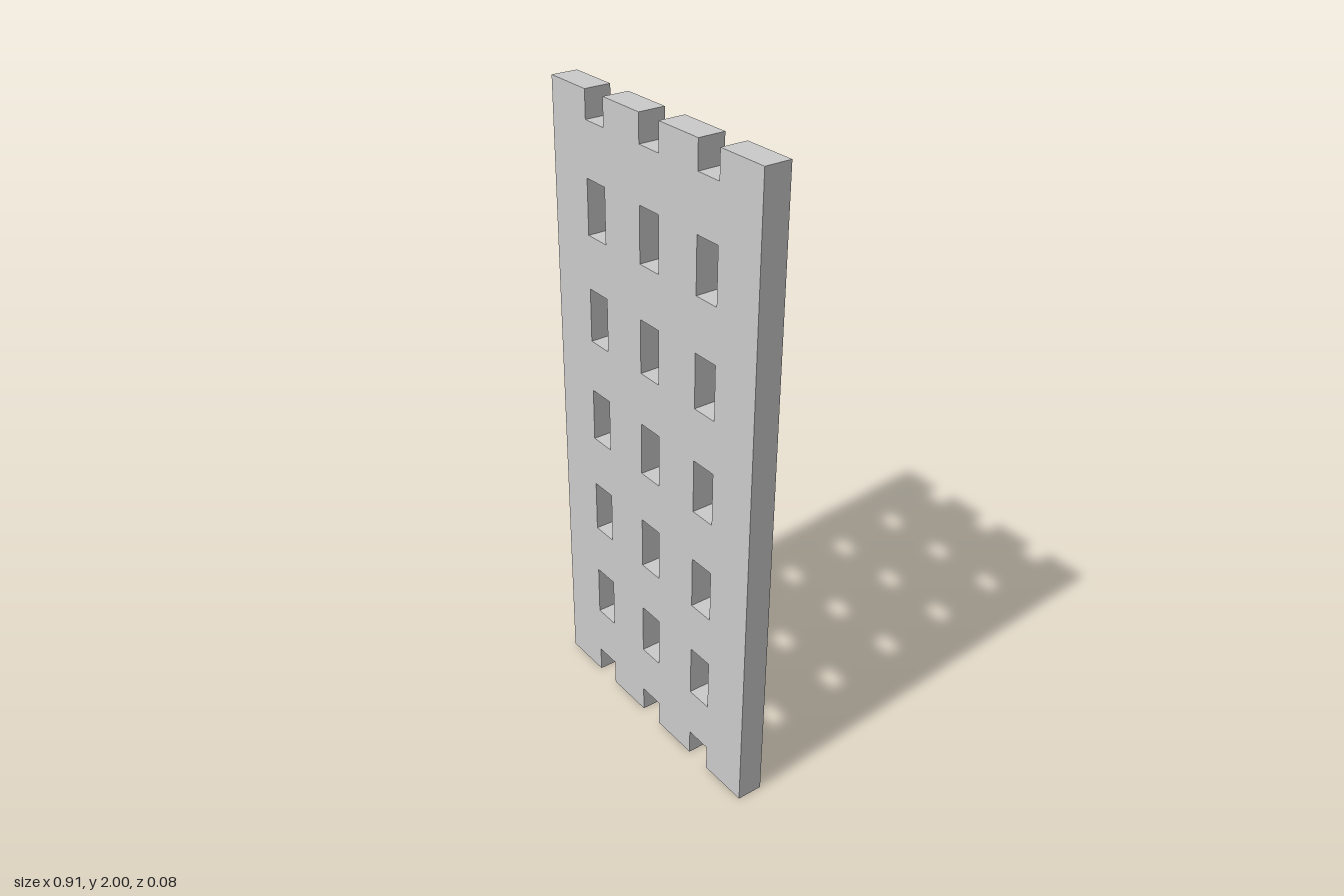
import * as THREE from 'three';

const HALF_W = 0.457, HEIGHT = 2, DEPTH = 0.083;
const COLUMNS = [-0.25, 0, 0.25];   // slot centres across the panel
const SLOT_W = 0.086, SLOT_H = 0.168, PITCH = HEIGHT / 6;

export function createModel() {
  const group = new THREE.Group();
  group.name = 'slottedPanel';

  // Outline with half-slot notches along the bottom and top edges
  const hw = SLOT_W / 2, hh = SLOT_H / 2;
  const bottom = [[-HALF_W, 0]];
  for (const x of COLUMNS) bottom.push([x - hw, 0], [x - hw, hh], [x + hw, hh], [x + hw, 0]);
  bottom.push([HALF_W, 0]);
  const top = bottom.map(([x, y]) => [x, HEIGHT - y]).reverse();
  const outline = new THREE.Shape([...bottom, ...top].map(([x, y]) => new THREE.Vector2(x, y)));

  // Grid of rectangular through-slots
  for (const x of COLUMNS) {
    for (let row = 1; row <= 5; row++) {
      const y = row * PITCH;
      outline.holes.push(new THREE.Path([
        new THREE.Vector2(x - hw, y - hh), new THREE.Vector2(x - hw, y + hh),
        new THREE.Vector2(x + hw, y + hh), new THREE.Vector2(x + hw, y - hh),
      ]));
    }
  }

  const geometry = new THREE.ExtrudeGeometry(outline, { depth: DEPTH, bevelEnabled: false });
  geometry.translate(0, 0, -DEPTH / 2);
  const panel = new THREE.Mesh(geometry, new THREE.MeshStandardMaterial({ color: 0xcccccc }));
  panel.name = 'panel';
  group.add(panel);
  return group;
}
